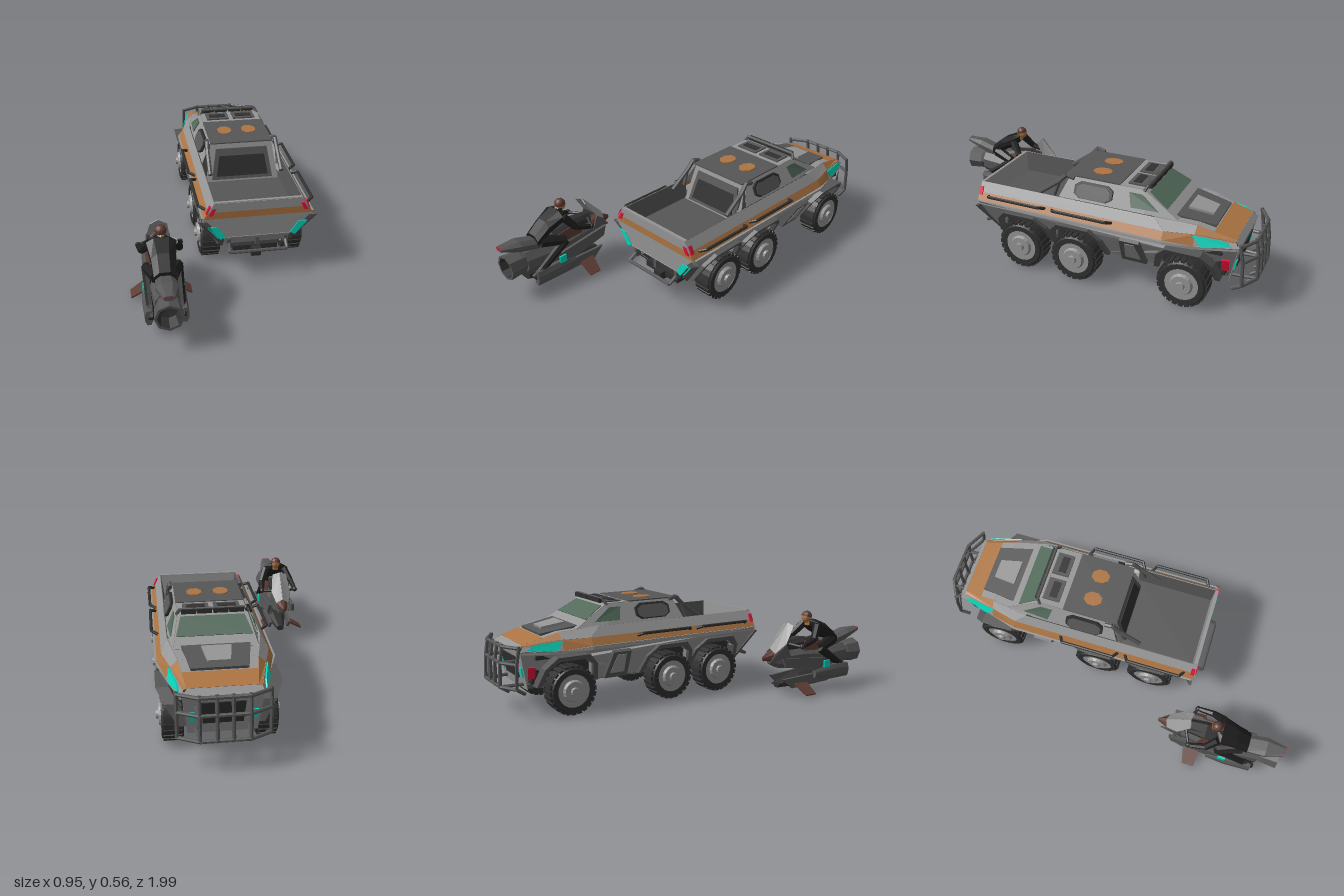
import * as THREE from 'three';

const mat = (name, color) => {
  const m = new THREE.MeshStandardMaterial({ color, flatShading: true, side: THREE.DoubleSide });
  m.name = name;
  return m;
};
const grey = mat('armour grey', 0x959595), steel = mat('dark steel', 0x565656), black = mat('rubber black', 0x303030),
  orange = mat('tan orange', 0xac7442), cyan = mat('cyan light', 0x08d6bc), red = mat('red light', 0xe0143c),
  glass = mat('green glass', 0x526a5a), cloth = mat('rider black', 0x1e1e1e), brown = mat('dark brown', 0x5c3a32);
let group, centre; // part group being filled, and the point that faces point away from
const V = (p) => new THREE.Vector3(...p);

function add(geo, m, name, x = 0, y = 0, z = 0) {
  const mesh = new THREE.Mesh(geo, m);
  mesh.name = name;
  mesh.position.set(x, y, z);
  group.add(mesh);
  return mesh;
}
const box = (w, h, d, m, name, x, y, z) => add(new THREE.BoxGeometry(w, h, d), m, name, x, y, z);

// Skin between matching closed rings, with capped ends
function hull(rings, m, name) {
  const n = rings[0].length, idx = [];
  for (let r = 0; r < rings.length - 1; r++) for (let i = 0; i < n; i++) {
    const a = r * n + i, b = r * n + (i + 1) % n;
    idx.push(a, b, a + n, b, b + n, a + n);
  }
  const last = (rings.length - 1) * n;
  for (let i = 1; i < n - 1; i++) idx.push(0, i + 1, i, last, last + i, last + i + 1);
  const g = new THREE.BufferGeometry();
  g.setAttribute('position', new THREE.Float32BufferAttribute(rings.flat(2), 3));
  g.setIndex(idx);
  g.computeVertexNormals();
  return add(g, m, name);
}
// Flat polygon thickened outward by h
function slab(pts, h, m, name) {
  const [a, b, c] = pts.map(V);
  const n = b.clone().sub(a).cross(c.clone().sub(a)).normalize();
  const mid = pts.map(V).reduce((s, p) => s.add(p), new THREE.Vector3()).divideScalar(pts.length);
  if (n.dot(mid.sub(centre)) < 0) n.negate();
  return hull([pts, pts.map((p) => V(p).addScaledVector(n, h).toArray())], m, name);
}
const flip = (pts) => pts.map(([x, y, z]) => [-x, y, z]);
const both = (fn, pts, ...rest) => { fn(pts, ...rest); fn(flip(pts), ...rest); };
// Open strip of panels between two edge lines, both sides
function strip(a, b, m, name) {
  for (let i = 0; i < a.length - 1; i++) both(slab, [a[i], a[i + 1], b[i + 1], b[i]], 0.002, m, name);
}
function limb(a, b, ra, rb, m, name) {
  const d = V(b).sub(V(a));
  const mesh = add(new THREE.CylinderGeometry(rb, ra, d.length(), 7), m, name);
  mesh.position.copy(V(a)).addScaledVector(d, 0.5);
  mesh.quaternion.setFromUnitVectors(new THREE.Vector3(0, 1, 0), d.normalize());
}
function bar(pts, r, m, name) {
  for (let i = 0; i < pts.length - 1; i++) limb(pts[i], pts[i + 1], r, r, m, name);
}
const half = (y) => 0.168 + (y - 0.145) * 0.58;               // lower flank half width
const cab = (y, z) => 0.215 - (y - 0.43) * 0.476 - Math.max(0, -z - 0.45) * 0.125; // cabin side
const archLine = (z, g) => [[z + 0.14 + g, 0.15], [z + 0.115 + g, 0.25], [z + 0.07 + g * 0.6, 0.285 + g],
  [z - 0.07 - g * 0.6, 0.285 + g], [z - 0.115 - g, 0.25], [z - 0.14 - g, 0.15]];
const WHEELS = [0.2, -0.1, -0.665];

// Side profile extruded and leaned to follow the flank
function flank(pts, depth, out, taper, m, name) {
  const g = new THREE.ExtrudeGeometry(new THREE.Shape(pts.map((p) => new THREE.Vector2(...p))), { depth, bevelEnabled: false });
  const p = g.attributes.position;
  for (let i = 0; i < p.count; i++) {
    const z = p.getX(i), y = p.getY(i);
    p.setXYZ(i, half(y) + out - p.getZ(i) - taper * Math.max(0, -z - 0.56), y, z);
  }
  g.computeVertexNormals();
  add(g, m, name);
  add(g, m, name).scale.x = -1;
}

function wheel(s, z) {
  const body = group;
  group = new THREE.Group();
  group.name = 'wheel';
  const tyre = [[0.084, -0.05], [0.11, -0.05], [0.12, -0.035], [0.12, 0.035], [0.11, 0.05], [0.084, 0.05]];
  add(new THREE.LatheGeometry(tyre.map((p) => new THREE.Vector2(...p)), 28), black, 'tyre');
  add(new THREE.CylinderGeometry(0.085, 0.085, 0.09, 20), grey, 'rim');
  add(new THREE.CylinderGeometry(0.05, 0.06, 0.02, 16), grey, 'hubPlate', 0, 0.05, 0);
  add(new THREE.CylinderGeometry(0.02, 0.024, 0.02, 10), grey, 'hub', 0, 0.063, 0);
  for (let i = 0; i < 24; i++) {
    const a = (i / 24) * Math.PI * 2;
    box(0.01, 0.085, 0.022, black, 'tread', Math.cos(a) * 0.12, 0, Math.sin(a) * 0.12).rotation.y = -a;
  }
  group.rotation.z = -s * Math.PI / 2;
  group.position.set(s * 0.217, 0.128, z);
  body.add(group);
  group = body;
}

function buildTruck() {
  // Lower body: armoured flanks with wheel arches, dark belly
  const outline = [[0.43, 0.345], [0.385, 0.16]];
  WHEELS.forEach((z) => outline.push(...archLine(z, 0)));
  outline.push([-0.86, 0.14], [-0.9, 0.335], [-0.7, 0.328], [-0.56, 0.345]);
  flank(outline, 0.03, 0, 0.27, grey, 'flank');
  WHEELS.forEach((z) => flank([...archLine(z, 0.024), ...archLine(z, 0).reverse()], 0.06, 0.024, 0, steel, 'wheelArch'));
  box(0.3, 0.16, 1.2, black, 'belly', 0, 0.24, -0.24);
  box(0.4, 0.02, 1.22, black, 'archRoof', 0, 0.3, -0.22);
  for (const s of [-1, 1]) box(0.03, 0.04, 1.2, steel, 'chassisRail', s * 0.08, 0.145, -0.24);
  for (const z of WHEELS) {
    limb([-0.2, 0.128, z], [0.2, 0.128, z], 0.016, 0.016, steel, 'axle');
    box(0.07, 0.06, 0.07, steel, 'differential', 0, 0.13, z);
    wheel(1, z);
    wheel(-1, z);
  }
  // Step recess between the axles
  const onFlank = (o) => ([z, y]) => [half(y) + o, y, z];
  both(slab, [[-0.335, 0.16], [-0.35, 0.31], [-0.45, 0.31], [-0.465, 0.16]].map(onFlank(0.002)), 0.02, steel, 'stepFrame');
  both(slab, [[-0.36, 0.18], [-0.375, 0.285], [-0.425, 0.285], [-0.44, 0.18]].map(onFlank(0.023)), 0.004, grey, 'stepPanel');

  // Upper body bands: shoulder, stripe, top edge
  const r0 = [[0.275, 0.325, 0.44], [0.275, 0.325, -0.56], [0.235, 0.313, -0.7], [0.182, 0.32, -0.9]];
  const r1 = [[0.272, 0.345, 0.44], [0.272, 0.345, -0.56], [0.235, 0.328, -0.7], [0.18, 0.335, -0.9]];
  const r2 = [[0.25, 0.382, 0.44], [0.25, 0.382, -0.56], [0.215, 0.38, -0.7], [0.17, 0.357, -0.885]];
  const r3 = [[0.22, 0.43, 0.44], [0.22, 0.43, -0.5], [0.182, 0.412, -0.7], [0.155, 0.362, -0.88]];
  strip(r0, r1, grey, 'shoulder');
  strip(r1.slice(0, 3), r2.slice(0, 3), orange, 'sideStripe');
  strip(r1.slice(2), r2.slice(2), grey, 'headlightPanel');
  strip(r2.slice(0, 2), r3.slice(0, 2), grey, 'topEdge');
  strip(r2.slice(1, 3), r3.slice(1, 3), grey, 'hoodEdge');
  strip(r2.slice(2), r3.slice(2), orange, 'hoodStripeEdge');
  both(slab, [[0.221, 0.375, -0.69], [0.19, 0.364, -0.835], [0.189, 0.34, -0.87], [0.227, 0.327, -0.735]], 0.007, cyan, 'headlight');

  // Hood, nose and nose lights
  const across = (x1, y1, z1, x2, y2, z2) => [[x1, y1, z1], [-x1, y1, z1], [-x2, y2, z2], [x2, y2, z2]];
  slab(across(0.22, 0.43, -0.5, 0.182, 0.412, -0.7), 0.002, grey, 'hoodRear');
  slab(across(0.182, 0.412, -0.7, 0.17, 0.39, -0.78), 0.002, grey, 'hoodMiddle');
  slab(across(0.17, 0.39, -0.78, 0.155, 0.362, -0.88), 0.002, orange, 'hoodStripe');
  slab(across(0.155, 0.362, -0.88, 0.18, 0.335, -0.905), 0.002, grey, 'noseLip');
  slab(across(0.18, 0.335, -0.9, 0.155, 0.135, -0.86), 0.003, grey, 'noseFace');
  slab(across(0.1, 0.3, -0.897, 0.09, 0.19, -0.876), 0.006, black, 'grille');
  slab(across(0.165, 0.42, -0.57, 0.13, 0.388, -0.775), 0.018, steel, 'hoodPlate');
  slab(across(0.07, 0.431, -0.62, 0.052, 0.412, -0.74), 0.012, grey, 'hoodScoop');
  both(slab, [[0.125, 0.25, -0.886], [0.155, 0.25, -0.886], [0.148, 0.2, -0.877], [0.125, 0.2, -0.877]], 0.006, cyan, 'fogLight');
  both(slab, [[0.158, 0.25, -0.82], [0.145, 0.19, -0.82], [0.138, 0.19, -0.855], [0.15, 0.25, -0.855]], 0.012, red, 'cornerLight');

  // Cabin
  const B = [[0.215, 0.43, 0.0], [0.215, 0.43, -0.45], [0.195, 0.422, -0.61]], T = [[0.165, 0.53, -0.04], [0.165, 0.53, -0.43]];
  both(slab, [B[0], B[1], T[1], T[0]], 0.002, grey, 'cabinSide');
  both(slab, [B[1], B[2], T[1]], 0.002, grey, 'windshieldPillar');
  slab(across(...T[0], ...T[1]), 0.003, grey, 'roof');
  slab(across(...T[1], ...B[2]), 0.002, grey, 'windshieldFrame');
  slab(across(0.152, 0.517, -0.451, 0.18, 0.457, -0.55), 0.006, glass, 'windshield');
  slab(across(...T[0], 0.205, 0.28, 0.03), 0.003, grey, 'cabinRear');
  slab(across(0.138, 0.497, -0.03, 0.165, 0.335, 0.015), 0.012, steel, 'rearWindowFrame');
  slab(across(0.122, 0.462, -0.009, 0.14, 0.355, 0.021), 0.005, black, 'rearWindow');
  const onCab = (o) => ([z, y]) => [cab(y, z) + o, y, z];
  const oct = (z, y, w, h) => [[z - w, y - h / 2], [z - w, y + h / 2], [z - w * 0.7, y + h], [z + w * 0.7, y + h],
    [z + w, y + h / 2], [z + w, y - h / 2], [z + w * 0.7, y - h], [z - w * 0.7, y - h]];
  both(slab, oct(-0.18, 0.48, 0.1, 0.038).map(onCab(0.002)), 0.012, black, 'sideWindowFrame');
  both(slab, oct(-0.18, 0.48, 0.088, 0.031).map(onCab(0.014)), 0.004, steel, 'sideWindow');
  both(slab, [[-0.36, 0.512], [-0.425, 0.512], [-0.515, 0.448], [-0.38, 0.448]].map(onCab(0.003)), 0.005, glass, 'doorWindow');

  // Roof hatches, vents, light bar and roll bars
  box(0.335, 0.006, 0.29, steel, 'roofPanel', 0, 0.534, -0.16);
  for (const s of [-1, 1]) {
    const disc = add(new THREE.CylinderGeometry(0.04, 0.04, 0.004, 8, 1, false, Math.PI / 8), orange, 'hatchDisc', s * 0.067, 0.539, -0.172);
    disc.scale.z = 1.25;
    box(0.125, 0.01, 0.09, steel, 'roofVent', s * 0.075, 0.535, -0.38);
    box(0.09, 0.004, 0.04, black, 'ventSlot', s * 0.075, 0.541, -0.375);
    bar([[s * 0.19, 0.42, 0.12], [s * 0.188, 0.5, 0.01], [s * 0.185, 0.542, -0.03], [s * 0.183, 0.53, -0.07]], 0.012, steel, 'rollBar');
    bar([[s * 0.187, 0.42, 0.04], [s * 0.187, 0.5, 0.01]], 0.009, steel, 'rollBarBrace');
    for (const x of [0.039, 0.114]) box(0.07, 0.022, 0.02, black, 'roofLamp', s * x, 0.546, -0.452);
  }
  bar([[-0.17, 0.525, -0.43], [-0.155, 0.553, -0.445], [0.155, 0.553, -0.445], [0.17, 0.525, -0.43]], 0.008, steel, 'lightBar');

  // Cargo bed and tailgate
  box(0.42, 0.01, 0.42, steel, 'bedFloor', 0, 0.32, 0.22);
  both(slab, [[0.217, 0.43, 0], [0.217, 0.43, 0.43], [0.203, 0.32, 0.42], [0.203, 0.32, 0]], 0.003, steel, 'bedWall');
  slab(across(0.215, 0.43, 0.425, 0.203, 0.32, 0.415), 0.003, grey, 'tailgateInner');
  slab(across(0.22, 0.43, 0.425, 0.22, 0.43, 0.44), 0.003, grey, 'tailgateRim');
  slab(across(0.22, 0.43, 0.44, 0.25, 0.382, 0.44), 0.003, grey, 'tailgateTop');
  slab(across(0.25, 0.382, 0.44, 0.272, 0.345, 0.44), 0.003, orange, 'tailgateStripe');
  slab(across(0.272, 0.345, 0.44, 0.165, 0.235, 0.438), 0.003, grey, 'tailgateLower');
  slab(across(0.165, 0.235, 0.438, 0.165, 0.15, 0.36), 0.004, grey, 'rearUnderside');
  both(slab, [[0.302, 0.328, 0.425], [0.25, 0.328, 0.425], [0.165, 0.235, 0.42], [0.168, 0.145, 0.365]], 0.014, steel, 'rearWing');
  both(slab, [[0.243, 0.298, 0.438], [0.203, 0.298, 0.438], [0.163, 0.237, 0.438], [0.19, 0.224, 0.438]], 0.008, cyan, 'tailLightLower');
  both(slab, [[0.25, 0.298, 0.44], [0.195, 0.224, 0.43], [0.195, 0.224, 0.415], [0.25, 0.298, 0.425]], 0.006, cyan, 'tailLightLowerSide');
  both(slab, [[0.25, 0.366, 0.443], [0.23, 0.366, 0.443], [0.212, 0.403, 0.443], [0.23, 0.403, 0.443]], 0.006, red, 'tailLight');
  both(slab, [[0.238, 0.41, 0.44], [0.257, 0.37, 0.44], [0.257, 0.37, 0.42], [0.238, 0.41, 0.42]], 0.006, red, 'tailLightSide');
  box(0.23, 0.035, 0.06, black, 'hitchBeam', 0, 0.127, 0.36);
  box(0.05, 0.045, 0.06, black, 'hitch', 0, 0.118, 0.39);
  bar([[-0.145, 0.2, 0.41], [-0.145, 0.165, 0.475], [0.145, 0.165, 0.475], [0.145, 0.2, 0.41]], 0.009, steel, 'rearStep');
  for (const x of [-0.145, 0, 0.145]) box(0.018, 0.045, 0.03, steel, 'stepBracket', x, 0.195, 0.42);

  // Side hand rails
  for (const [a, b] of [[0.385, 0.06], [0.02, -0.3]])
    both(bar, [[0.255, 0.368, a], [0.29, 0.383, a - 0.02], [0.29, 0.383, b + 0.02], [0.255, 0.368, b]], 0.008, black, 'handRail');

  // Front bull bar
  for (const [y, z] of [[0.36, 0.01], [0.28, 0], [0.16, -0.005]])
    bar([[-0.205, y, z - 0.93], [-0.11, y, z - 0.98], [0.11, y, z - 0.98], [0.205, y, z - 0.93]], 0.009, steel, 'bullBar');
  for (const [x, z] of [[0.205, -0.93], [0.11, -0.98], [0.035, -0.98]])
    both(bar, [[x, 0.37, z + 0.015], [x, 0.28, z], [x, 0.16, z - 0.005], [x * 0.95, 0.13, z + 0.04]], 0.009, steel, 'bullBarPost');
  for (const y of [0.28, 0.16]) both(bar, [[0.11, y, -0.98], [0.12, y, -0.87]], 0.009, steel, 'bullBarMount');
}

// Eight-sided ring across the bike
const ring = (z, y, w, h) => [[1, 0.4], [0.5, 1], [-0.5, 1], [-1, 0.4], [-1, -0.4], [-0.5, -1], [0.5, -1], [1, -0.4]]
  .map(([a, b]) => [a * w, y + b * h, z]);

function buildBike() {
  // Main fuselage, keel, tail and exhaust
  hull([ring(0.36, 0.2, 0.012, 0.015), ring(0.42, 0.2, 0.04, 0.045), ring(0.56, 0.2, 0.06, 0.06), ring(0.75, 0.18, 0.065, 0.07), ring(0.88, 0.19, 0.055, 0.06)], steel, 'fuselage');
  hull([ring(0.42, 0.06, 0.02, 0.015), ring(0.55, 0.08, 0.05, 0.035), ring(0.75, 0.1, 0.06, 0.045), ring(0.88, 0.12, 0.05, 0.03)], black, 'keel');
  hull([ring(0.46, 0.27, 0.03, 0.03), ring(0.58, 0.275, 0.045, 0.035), ring(0.7, 0.26, 0.04, 0.03)], black, 'tank');
  hull([ring(0.66, 0.255, 0.04, 0.02), ring(0.8, 0.265, 0.045, 0.03), ring(0.9, 0.295, 0.05, 0.03), ring(1.0, 0.315, 0.025, 0.012)], steel, 'seatTail');
  both(slab, [[0.05, 0.3, 0.57], [0.064, 0.245, 0.55], [0.062, 0.235, 0.72], [0.05, 0.275, 0.75]], 0.008, brown, 'tankPanel');
  box(0.04, 0.014, 0.012, red, 'bikeTailLight', 0, 0.318, 0.994);
  for (const [m, name, profile] of [[steel, 'exhaust', [[0.045, 0], [0.06, 0.04], [0.068, 0.12], [0.056, 0.12]]], [black, 'exhaustInner', [[0.056, 0.12], [0.045, 0.06], [0.001, 0.05]]]])
    add(new THREE.LatheGeometry(profile.map((p) => new THREE.Vector2(...p)), 8), m, name, 0, 0.195, 0.86).rotation.x = Math.PI / 2;
  // Front fairing and windscreen
  both(slab, [[0, 0.395, 0.49], [0.04, 0.38, 0.5], [0.054, 0.29, 0.44], [0.034, 0.24, 0.38], [0, 0.265, 0.37]], 0.004, grey, 'windscreen');
  both(slab, [[0.054, 0.29, 0.44], [0.056, 0.22, 0.47], [0.025, 0.19, 0.345], [0.034, 0.24, 0.38]], 0.005, steel, 'fairing');
  hull([ring(0.322, 0.215, 0.006, 0.01), ring(0.38, 0.225, 0.03, 0.03), ring(0.46, 0.21, 0.045, 0.04)], brown, 'nose');
  // Side armour, lights, side thrusters and fins
  both(slab, [[0.06, 0.22, 0.4], [0.066, 0.17, 0.42], [0.07, 0.12, 0.66], [0.07, 0.19, 0.7]], 0.018, steel, 'sidePanel');
  both(slab, [[0.05, 0.1, 0.42], [0.05, 0.045, 0.48], [0.065, 0.06, 0.72], [0.07, 0.12, 0.8]], 0.014, steel, 'lowerPanel');
  both(slab, [[0.088, 0.18, 0.68], [0.088, 0.14, 0.68], [0.088, 0.14, 0.72], [0.088, 0.18, 0.72]], 0.009, cyan, 'bikeLight');
  both(slab, [[0.06, 0.075, 0.49], [0.06, 0.075, 0.58], [0.15, 0.022, 0.575], [0.15, 0.022, 0.51]], 0.008, brown, 'fin');
  for (const s of [-1, 1]) {
    hull([ring(0.62, 0.11, 0.014, 0.022), ring(0.72, 0.11, 0.022, 0.04), ring(0.86, 0.11, 0.018, 0.038)]
      .map((r) => r.map(([x, y, z]) => [x + s * 0.082, y, z])), steel, 'sideThruster');
    bar([[s * 0.03, 0.285, 0.48], [s * 0.11, 0.275, 0.515]], 0.008, black, 'handlebar');
    // Rider limbs
    limb([s * 0.03, 0.275, 0.78], [s * 0.074, 0.25, 0.66], 0.035, 0.026, cloth, 'thigh');
    limb([s * 0.074, 0.25, 0.66], [s * 0.072, 0.14, 0.82], 0.024, 0.018, cloth, 'shin');
    limb([s * 0.072, 0.15, 0.8], [s * 0.072, 0.115, 0.87], 0.02, 0.016, black, 'boot');
    limb([s * 0.056, 0.37, 0.65], [s * 0.09, 0.305, 0.6], 0.023, 0.018, cloth, 'upperArm');
    limb([s * 0.09, 0.305, 0.6], [s * 0.1, 0.28, 0.52], 0.017, 0.013, cloth, 'forearm');
    add(new THREE.SphereGeometry(0.015, 7, 5), black, 'glove', s * 0.101, 0.278, 0.51);
  }
  // Rider torso and head
  hull([[0.81, 0.28, 0.05, 0.035], [0.74, 0.33, 0.055, 0.04], [0.66, 0.37, 0.07, 0.033], [0.63, 0.385, 0.03, 0.02]]
    .map((a) => ring(...a)), cloth, 'torso');
  limb([0, 0.38, 0.645], [0, 0.408, 0.632], 0.028, 0.016, orange, 'neck');
  add(new THREE.SphereGeometry(0.025, 10, 8), orange, 'head', 0, 0.413, 0.619).scale.y = 1.2;
  add(new THREE.SphereGeometry(0.029, 10, 6, 0, Math.PI * 2, 0, 1.7), brown, 'hair', 0, 0.42, 0.624).rotation.x = 0.3;
}

export function createModel() {
  const model = new THREE.Group();
  const parts = [['truck', buildTruck, 0.173, [0, 0.25, -0.2]], ['hoverBike', buildBike, -0.327, [0, 0.2, 0.65]]];
  for (const [name, build, x, c] of parts) {
    group = new THREE.Group();
    group.name = name;
    group.position.x = x;
    centre = V(c);
    build();
    model.add(group);
  }
  return model;
}
